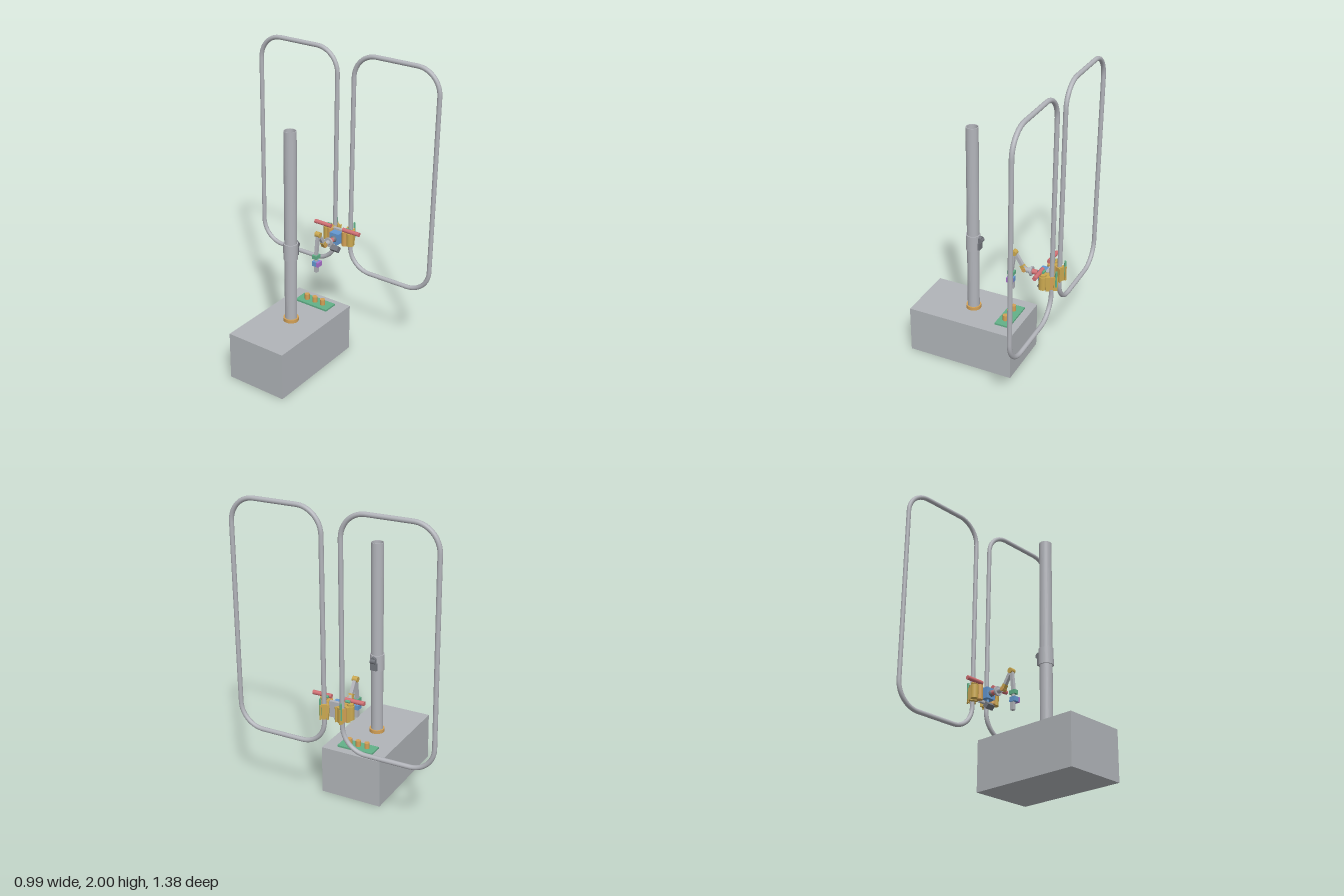
import * as THREE from 'three';

const mat = (name, color, side = THREE.FrontSide) => {
  const m = new THREE.MeshStandardMaterial({ color, side });
  m.name = name;
  return m;
};

export function createModel() {
  const root = new THREE.Group();
  const M = {
    base: mat('base grey', 0xb0b4b8),
    steel: mat('steel grey', 0xb2b4ba),
    dark: mat('dark grey', 0x74777e),
    orange: mat('bronze', 0xd2a056),
    gold: mat('gold', 0xcaa850),
    red: mat('red', 0xd07074),
    green: mat('green', 0x62b088),
    blue: mat('blue', 0x6498d0),
    purple: mat('purple', 0xaa72cc),
  };
  const add = (name, geo, m, x, y, z, parent = root) => {
    const mesh = new THREE.Mesh(geo, m);
    mesh.name = name;
    mesh.position.set(x, y, z);
    parent.add(mesh);
    return mesh;
  };
  const box = (name, m, w, h, d, x, y, z, parent) =>
    add(name, new THREE.BoxGeometry(w, h, d), m, x, y, z, parent);
  const cyl = (name, m, r, h, x, y, z, axis = 'y', parent = root) => {
    const g = new THREE.CylinderGeometry(r, r, h, 24);
    if (axis === 'x') g.rotateZ(Math.PI / 2);
    if (axis === 'z') g.rotateX(Math.PI / 2);
    return add(name, g, m, x, y, z, parent);
  };
  // hollow upright pipe with flat ends
  const pipe = (name, m, ro, ri, y0, y1, x) => {
    const s = new THREE.Shape().absarc(0, 0, ro, 0, Math.PI * 2);
    s.holes.push(new THREE.Path().absarc(0, 0, ri, 0, Math.PI * 2, true));
    const g = new THREE.ExtrudeGeometry(s, { depth: y1 - y0, bevelEnabled: false, curveSegments: 32 });
    g.rotateX(-Math.PI / 2);
    return add(name, g, m, x, y0, 0);
  };
  // bar between two points in the z = 0 plane
  const link = (name, m, a, b, w, d) => {
    const dx = b[0] - a[0], dy = b[1] - a[1];
    const mesh = box(name, m, w, Math.hypot(dx, dy), d, (a[0] + b[0]) / 2, (a[1] + b[1]) / 2, 0);
    mesh.rotation.z = Math.atan2(-dx, dy);
    return mesh;
  };

  // base, mast and its collars
  box('base', M.base, 0.74, 0.325, 0.42, -0.13, 0.1625, 0);
  pipe('mast', M.steel, 0.04, 0.035, 0.325, 1.635, -0.13);
  pipe('mastCollar', M.orange, 0.05, 0.04, 0.325, 0.348, -0.13);
  pipe('mastSleeve', M.steel, 0.047, 0.04, 0.775, 0.885, -0.13);
  cyl('sleevePivot', M.dark, 0.016, 0.03, -0.08, 0.865, 0, 'x');
  box('sleeveBracket', M.dark, 0.02, 0.05, 0.045, -0.083, 0.81, 0);
  cyl('sleeveKnob', M.dark, 0.018, 0.036, -0.075, 0.852, 0, 'z').rotation.x = 0;

  // control panel with three buttons
  box('panel', M.green, 0.102, 0.012, 0.25, 0.136, 0.331, 0);
  for (const z of [-0.063, 0, 0.063]) cyl('button', M.orange, 0.017, 0.04, 0.133, 0.356, z);

  // folding arm
  link('upperLink', M.steel, [0.24, 0.715], [0.168, 0.825], 0.022, 0.022);
  link('lowerLink', M.steel, [0.163, 0.825], [0.145, 0.68], 0.022, 0.02);
  link('upperLinkEnd', M.gold, [0.24, 0.71], [0.217, 0.747], 0.026, 0.028);
  cyl('elbow', M.gold, 0.018, 0.036, 0.165, 0.825, 0, 'z');
  cyl('shoulder', M.orange, 0.015, 0.034, 0.235, 0.72, 0, 'z');
  cyl('armShaft', M.steel, 0.017, 0.045, 0.265, 0.72, 0, 'x');
  cyl('armFlange', M.steel, 0.032, 0.012, 0.285, 0.72, 0, 'x');
  cyl('armCoupling', M.red, 0.017, 0.04, 0.307, 0.72, 0, 'x');

  // tool hanging from the arm
  box('wrist', M.green, 0.046, 0.026, 0.034, 0.145, 0.673, 0);
  cyl('wristPin', M.steel, 0.012, 0.03, 0.145, 0.65, 0);
  box('toolBody', M.blue, 0.046, 0.032, 0.034, 0.143, 0.625, 0);
  box('toolCover', M.purple, 0.046, 0.032, 0.016, 0.143, 0.625, 0.025);
  box('toolTip', M.steel, 0.026, 0.055, 0.022, 0.151, 0.584, 0);

  // central hub
  add('hubBall', new THREE.SphereGeometry(0.022, 20, 14), M.dark, 0.343, 0.72, 0);
  box('hub', M.blue, 0.052, 0.075, 0.07, 0.371, 0.722, 0);
  box('hubPlate', M.steel, 0.022, 0.105, 0.09, 0.408, 0.72, 0);
  box('hubSensor', M.dark, 0.036, 0.036, 0.06, 0.362, 0.64, 0).rotation.z = Math.PI / 4;
  cyl('sensorPin', M.blue, 0.008, 0.03, 0.374, 0.675, 0);

  // rounded loop path in the x = 0.45 plane
  const loopPath = (s) => {
    const path = new THREE.CurvePath();
    const [z0, z1, y0, y1, r] = [0.063, 0.675, 0.48, 1.985, 0.16];
    const v = (z, y) => new THREE.Vector3(0.45, y, s * z);
    const line = (a, b) => path.add(new THREE.LineCurve3(a, b));
    const k = 0.448 * r; // handle distance from the corner
    const corner = (a, h1, h2, b) => path.add(new THREE.CubicBezierCurve3(a, h1, h2, b));
    line(v(z0, y0 + r), v(z0, y1 - r));
    corner(v(z0, y1 - r), v(z0, y1 - k), v(z0 + k, y1), v(z0 + r, y1));
    line(v(z0 + r, y1), v(z1 - r, y1));
    corner(v(z1 - r, y1), v(z1 - k, y1), v(z1, y1 - k), v(z1, y1 - r));
    line(v(z1, y1 - r), v(z1, y0 + r));
    corner(v(z1, y0 + r), v(z1, y0 + k), v(z1 - k, y0), v(z1 - r, y0));
    line(v(z1 - r, y0), v(z0 + r, y0));
    corner(v(z0 + r, y0), v(z0 + k, y0), v(z0, y0 + k), v(z0, y0 + r));
    return path;
  };

  // mirrored loops, clamps and handles
  for (const s of [1, -1]) {
    add(s > 0 ? 'leftLoop' : 'rightLoop',
      new THREE.TubeGeometry(loopPath(s), 180, 0.015, 14, true), M.steel, 0, 0, 0);

    const clamp = new THREE.Group();
    clamp.name = s > 0 ? 'leftClamp' : 'rightClamp';
    root.add(clamp);
    // two jaws either side of the loop tube, turned about the tube
    const jaws = new THREE.Group();
    jaws.name = 'jaws';
    jaws.position.set(0.45, 0.72, s * 0.063);
    jaws.rotation.y = s * 0.5;
    clamp.add(jaws);
    box('innerJaw', M.gold, 0.024, 0.1, 0.06, -0.026, 0, 0, jaws);
    box('outerJaw', M.gold, 0.014, 0.1, 0.03, 0.021, 0, 0, jaws);
    for (const t of [1, -1]) {
      box('jawLip', M.gold, 0.028, 0.1, 0.009, 0.022, 0, t * 0.023, jaws);
      box('jawSide', M.orange, 0.03, 0.09, 0.008, 0, 0, t * 0.019, jaws);
    }
    cyl('clampBolt', M.green, 0.007, 0.11, 0.483, 0.752, s * 0.072, 'y', clamp);
    cyl('clampHinge', M.gold, 0.025, 0.09, 0.402, 0.72, s * 0.093, 'y', clamp);
    cyl('clampPivot', M.orange, 0.02, 0.1, 0.388, 0.722, s * 0.058, 'y', clamp);
    cyl('handleCap', M.gold, 0.022, 0.012, 0.402, 0.775, s * 0.093, 'y', clamp);
    cyl('handle', M.red, 0.014, 0.13, 0.381, 0.788, s * 0.113, 'z', clamp);
    cyl('handleStem', M.green, 0.009, 0.03, 0.4, 0.788, s * 0.075, 'z', clamp);
  }
  return root;
}
